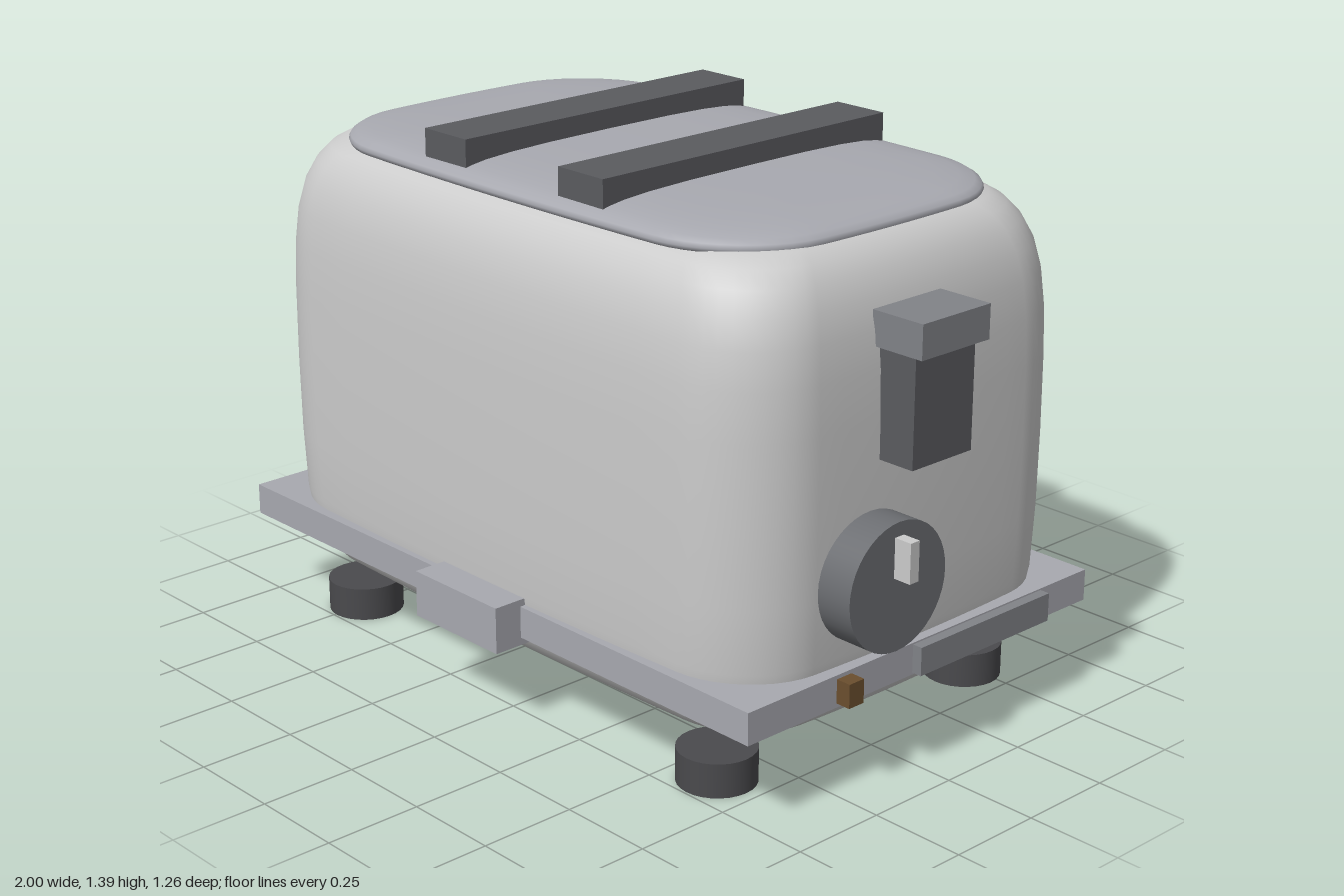
import * as THREE from 'three';

const CX = -0.06, CZ = -0.04; // centre of the housing

const mat = (color) => new THREE.MeshStandardMaterial({ color });
const shell = mat(0xcccccc), trim = mat(0xa8a9b0), dark = mat(0x5a5b5f);
const grip = mat(0x818388), knobGrey = mat(0x6c6e72), rubber = mat(0x4a4a4d);
const brown = mat(0x6b4f2e);

// Rounded rectangle with slightly bowed sides, as [x, z] points
function outline(hx, hz, r, bow) {
  const pts = [], steps = 10;
  const corners = [[1, 1], [-1, 1], [-1, -1], [1, -1]];
  corners.forEach(([sx, sz], k) => {
    const cx = sx * (hx - r), cz = sz * (hz - r);
    for (let i = 0; i <= steps; i++) {
      const a = (k + i / steps) * Math.PI / 2;
      pts.push([cx + r * Math.cos(a), cz + r * Math.sin(a)]);
    }
    const [nx, nz] = corners[(k + 1) % 4];
    const [x0, z0] = pts[pts.length - 1];
    const a = (k + 1) * Math.PI / 2;
    const x1 = nx * (hx - r) + r * Math.cos(a), z1 = nz * (hz - r) + r * Math.sin(a);
    for (let i = 1; i < steps; i++) {
      const t = i / steps;
      pts.push([x0 + (x1 - x0) * t, z0 + (z1 - z0) * t]);
    }
  });
  return pts.map(([x, z]) => [
    x - (x / hx) * bow * (z / hz) ** 2,
    z - (z / hz) * bow * (x / hx) ** 2,
  ]);
}

// Loft the outline through a profile of [inset, y] rings, bottom to top
function loft(hx, hz, r, bow, profile) {
  const ring = outline(hx, hz, r, bow), n = ring.length, pos = [], index = [];
  profile.forEach(([inset, y], i) => {
    for (const [x, z] of ring) pos.push(x * (1 - inset / hx), y, z * (1 - inset / hz));
    if (i === 0) return;
    for (let j = 0; j < n; j++) {
      const a = (i - 1) * n + j, d = (i - 1) * n + (j + 1) % n;
      index.push(a, a + n, d + n, a, d + n, d);
    }
  });
  const geo = new THREE.BufferGeometry();
  geo.setAttribute('position', new THREE.Float32BufferAttribute(pos, 3));
  geo.setIndex(index);
  geo.computeVertexNormals();
  return geo;
}

export function createModel() {
  const group = new THREE.Group();

  function add(name, geo, material, x = 0, y = 0, z = 0) {
    const mesh = new THREE.Mesh(geo, material);
    mesh.name = name;
    mesh.position.set(x, y, z);
    group.add(mesh);
    return mesh;
  }
  // Box given by its extents on each axis
  function box(name, material, [x0, x1], [y0, y1], [z0, z1]) {
    return add(name, new THREE.BoxGeometry(x1 - x0, y1 - y0, z1 - z0), material,
      (x0 + x1) / 2, (y0 + y1) / 2, (z0 + z1) / 2);
  }

  // Soft rounded housing
  add('housing', loft(0.925, 0.587, 0.22, 0.025, [
    [0.587, 0.09], [0.4, 0.09], [0.3, 0.092], [0.22, 0.098], [0.16, 0.112], [0.11, 0.135],
    [0.07, 0.165], [0.04, 0.205], [0.02, 0.26], [0.008, 0.34], [0.002, 0.5], [0, 0.7],
    [0.001, 0.9], [0.005, 1.02], [0.014, 1.11], [0.03, 1.18], [0.055, 1.235], [0.085, 1.272],
    [0.12, 1.295], [0.17, 1.305], [0.25, 1.308], [0.587, 1.308],
  ]), shell, CX, 0, CZ);

  // Top panel with a soft edge
  add('topPanel', loft(0.803, 0.503, 0.26, 0.025, [
    [0.03, 1.285], [0.004, 1.29], [0, 1.3], [0.004, 1.31], [0.018, 1.32], [0.05, 1.328],
    [0.1, 1.335], [0.18, 1.34], [0.3, 1.343], [0.503, 1.344],
  ]), trim, CX, 0, CZ);

  // Bread slots
  for (const x of [-0.307, 0.188]) {
    box('breadSlot', dark, [x - 0.078, x + 0.078], [1.32, 1.395], [-0.51, 0.425]);
  }

  // Base band, front latch and crumb tray
  box('baseBand', trim, [-1, 0.88], [0.235, 0.317], [-0.63, 0.55]);
  box('frontLatch', trim, [-0.215, 0.095], [0.215, 0.335], [0.52, 0.627]);
  box('crumbTray', grip, [0.85, 0.907], [0.24, 0.313], [-0.457, 0.007]);
  box('indicator', brown, [0.86, 0.92], [0.246, 0.307], [0.217, 0.265]);

  // Lever on the left end
  box('leverStem', dark, [0.84, 0.962], [0.803, 1.075], [-0.075, 0.123]);
  box('leverHandle', grip, [0.84, 0.99], [1.073, 1.158], [-0.09, 0.135]);

  // Browning dial and its pointer
  const dial = add('dial', new THREE.CylinderGeometry(0.16, 0.16, 0.11, 40), knobGrey, 0.897, 0.525, 0.147);
  dial.rotation.z = -Math.PI / 2;
  box('dialPointer', shell, [0.94, 1], [0.55, 0.65], [0.133, 0.162]);

  // Feet
  for (const x of [-0.742, 0.622]) {
    for (const z of [0.395, -0.475]) {
      add('foot', new THREE.CylinderGeometry(0.099, 0.099, 0.088, 28), rubber, x, 0.044, z);
    }
  }

  return group;
}
